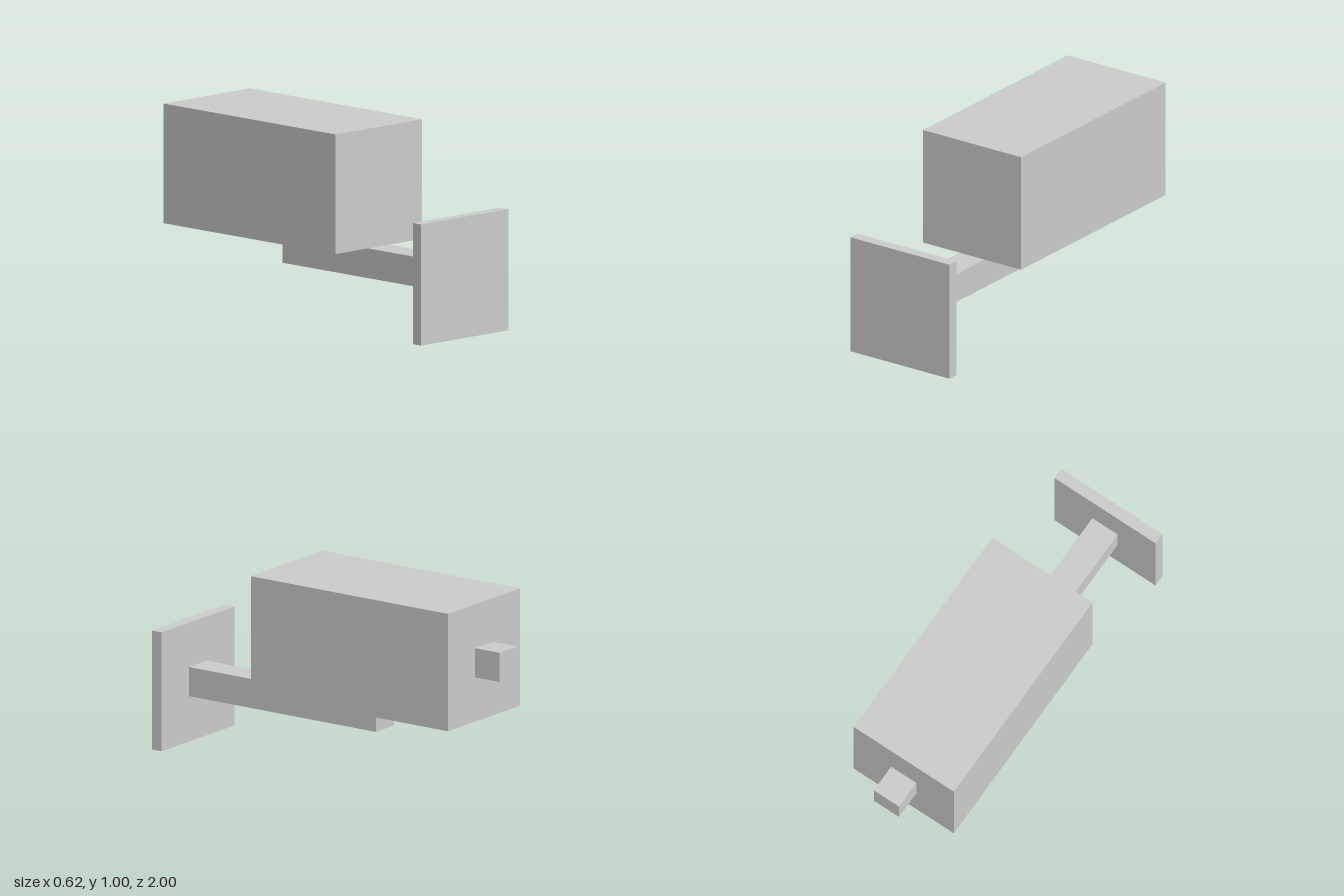
import * as THREE from 'three';

const material = new THREE.MeshStandardMaterial({ color: 0xcccccc, flatShading: true });

// Box given by its half width in x and its extents in y and z
function block(name, halfWidth, [y0, y1], [z0, z1]) {
  const mesh = new THREE.Mesh(new THREE.BoxGeometry(halfWidth * 2, y1 - y0, z1 - z0), material);
  mesh.name = name;
  mesh.position.set(0, (y0 + y1) / 2, (z0 + z1) / 2);
  return mesh;
}

export function createModel() {
  const model = new THREE.Group();
  model.name = 'blockPiston';
  model.add(
    // Square plate at the front
    block('frontPlate', 0.309, [0, 0.62], [0.94, 1]),
    // Rod running from the plate back under the body
    block('rod', 0.077, [0.237, 0.389], [-0.227, 0.94]),
    // Main body resting on the rod
    block('body', 0.306, [0.389, 1.001], [-0.846, 0.385]),
    // Short stub on the back of the body
    block('rearStub', 0.077, [0.621, 0.773], [-1, -0.846]),
  );
  return model;
}
